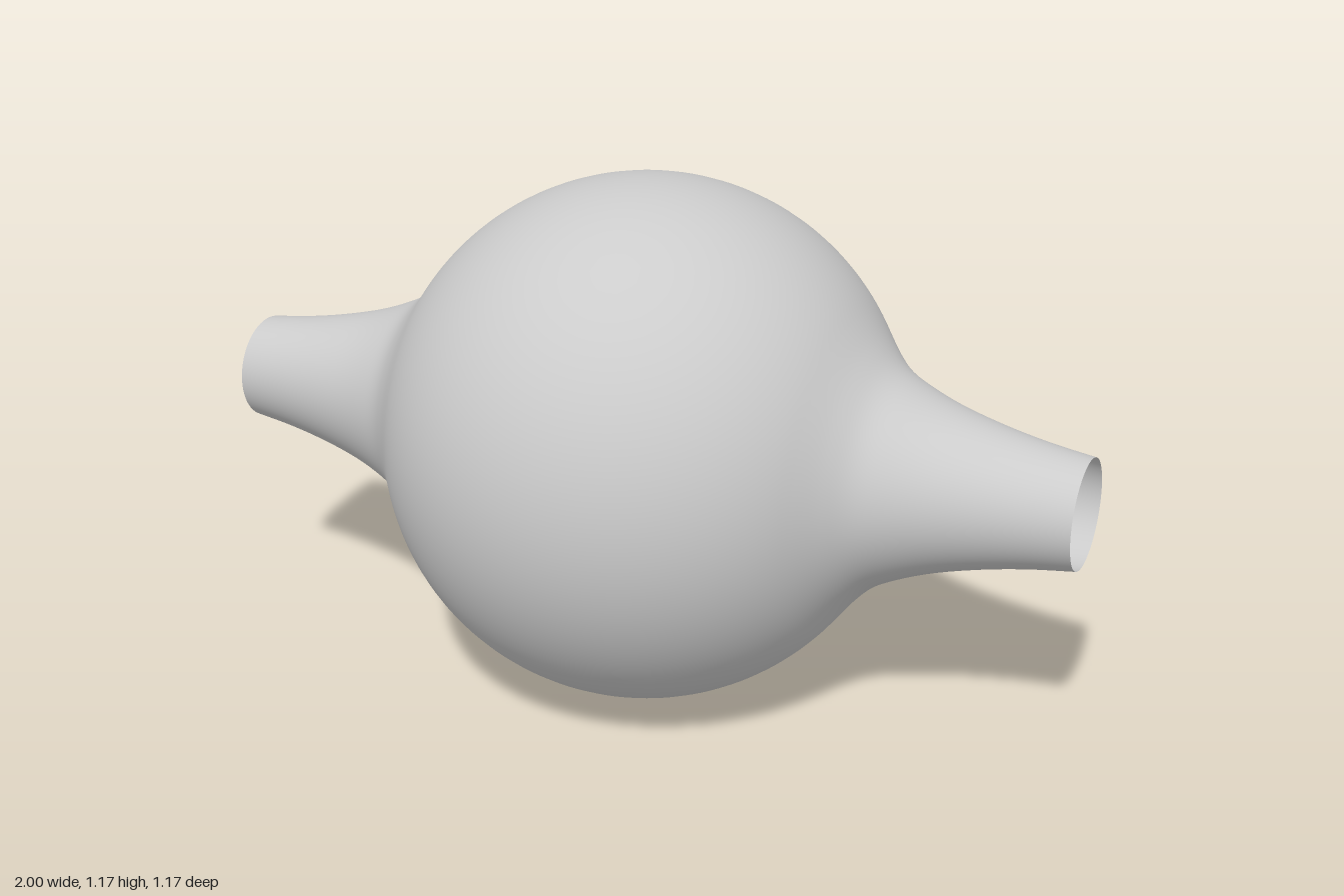
import * as THREE from 'three';

const RADIUS = 0.586;

// Half profile as (radius, distance along the axis), from the equator to the open neck end
function halfProfile() {
  const points = [];
  const joinAngle = Math.asin(0.475 / RADIUS);
  const arcSteps = 28;
  for (let i = 0; i <= arcSteps; i++) {
    const a = (joinAngle * i) / arcSteps;
    points.push(new THREE.Vector2(RADIUS * Math.cos(a), RADIUS * Math.sin(a)));
  }
  // Flared neck blending out of the bulb
  const neck = new THREE.SplineCurve([
    points[arcSteps],
    new THREE.Vector2(0.286, 0.52),
    new THREE.Vector2(0.242, 0.565),
    new THREE.Vector2(0.212, 0.62),
    new THREE.Vector2(0.181, 0.7),
    new THREE.Vector2(0.154, 0.8),
    new THREE.Vector2(0.134, 0.9),
    new THREE.Vector2(0.12, 1),
  ]);
  points.push(...neck.getPoints(42).slice(1));
  return points;
}

export function createModel() {
  const group = new THREE.Group();
  group.name = 'doubleNeckedBulb';

  // Mirror the half profile about the equator, then spin it around the x axis
  const half = halfProfile();
  const mirrored = half.slice(1).reverse().map((p) => new THREE.Vector2(p.x, -p.y));
  const geometry = new THREE.LatheGeometry([...mirrored, ...half], 96);
  geometry.rotateZ(-Math.PI / 2);

  // Thin hollow shell, open at both neck ends
  const shell = new THREE.Mesh(
    geometry,
    new THREE.MeshStandardMaterial({ color: 0xcccccc, side: THREE.DoubleSide })
  );
  shell.name = 'bulbWithOpenNecks';
  shell.position.y = RADIUS;
  group.add(shell);
  return group;
}
